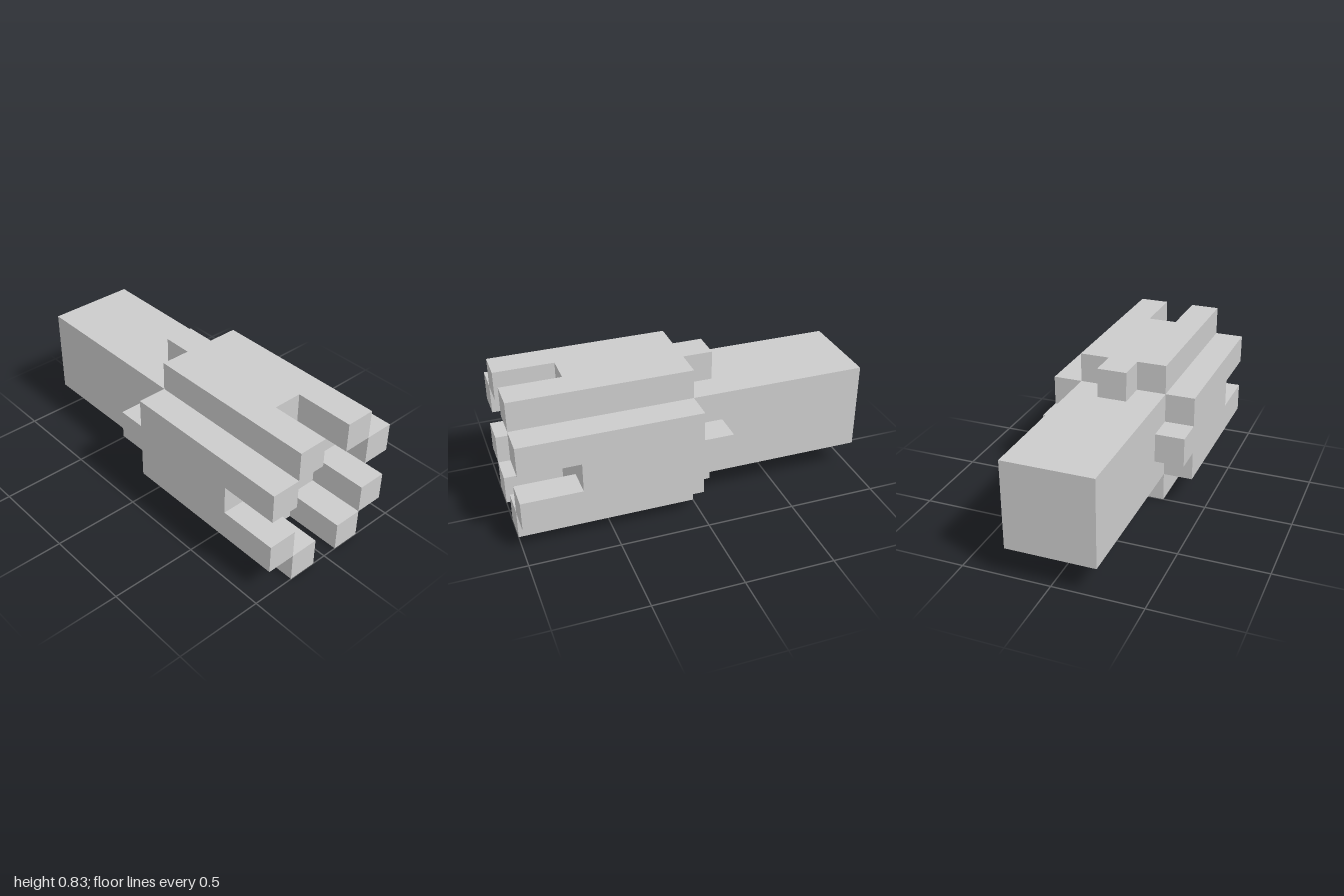
import * as THREE from 'three';

const U = 1 / 6; // basic module: plate thickness, slot and tab width
const HALF = 1.5 * U; // half the width of the square core

export function createModel() {
  const group = new THREE.Group();
  const material = new THREE.MeshStandardMaterial({ color: 0xcccccc, flatShading: true });

  // Square core bar, ending flush with the slot bottoms
  const core = new THREE.Mesh(new THREE.BoxGeometry(10 * U, 2 * HALF, 2 * HALF), material);
  core.name = 'coreBar';
  core.position.set(-U, 2.5 * U, 0);
  group.add(core);

  // Plate outline: slot at the +x end, tab at the -x end
  const outline = [
    [0, -HALF], [1, -HALF], [1, -U / 2], [4 * U, -U / 2],
    [4 * U, U / 2], [1, U / 2], [1, HALF], [0, HALF],
    [0, U / 2], [-U, U / 2], [-U, -U / 2], [0, -U / 2],
  ];
  const shape = new THREE.Shape(outline.map(([x, y]) => new THREE.Vector2(x, y)));
  const plateGeometry = new THREE.ExtrudeGeometry(shape, { depth: U, bevelEnabled: false });
  plateGeometry.translate(0, 0, HALF);

  // One plate on each long side of the core
  ['frontPlate', 'bottomPlate', 'backPlate', 'topPlate'].forEach((name, i) => {
    const plate = new THREE.Mesh(plateGeometry, material);
    plate.name = name;
    plate.position.y = 2.5 * U;
    plate.rotation.x = (i * Math.PI) / 2;
    group.add(plate);
  });

  return group;
}
